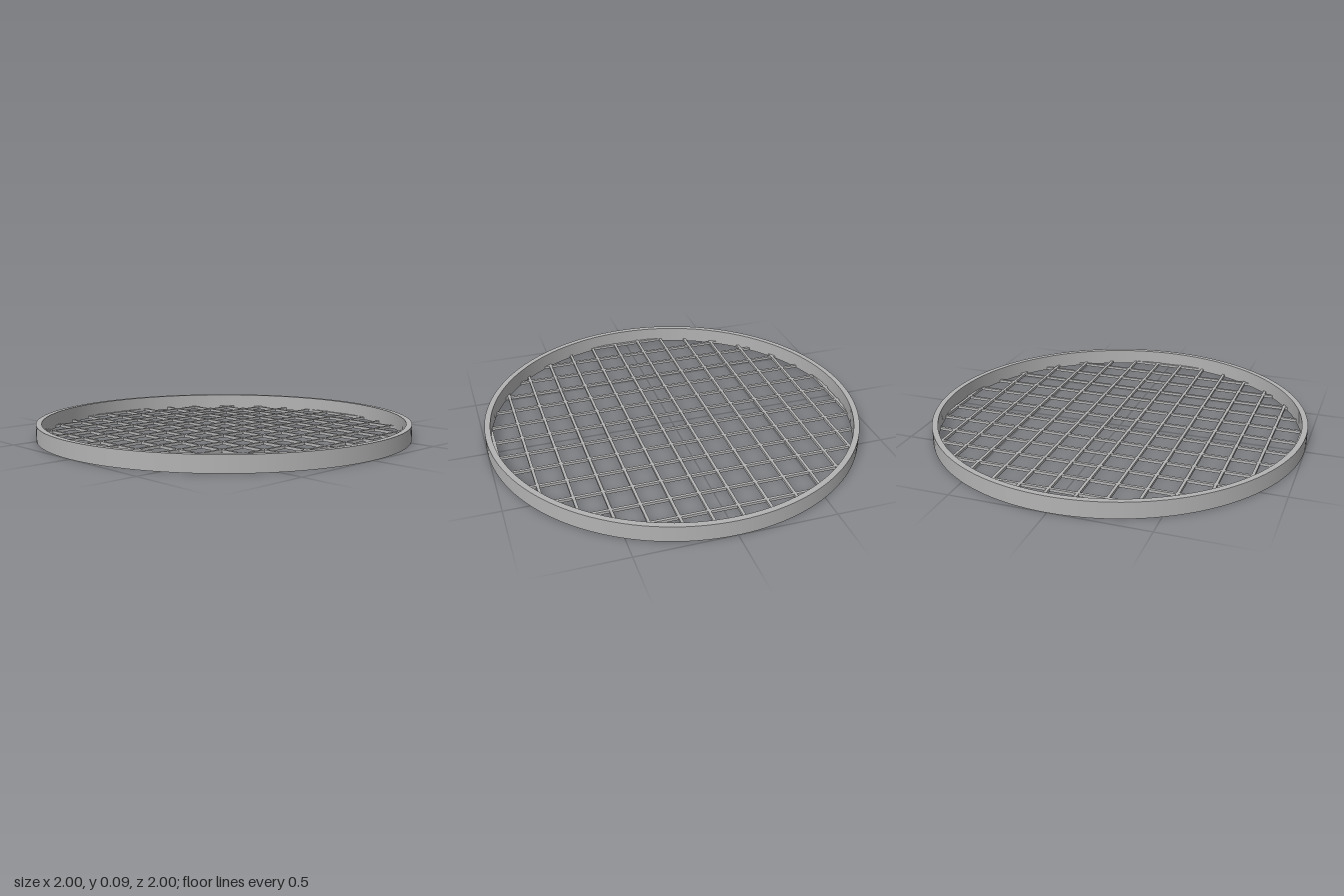
import * as THREE from 'three';
import { mergeGeometries } from 'three/addons/utils/BufferGeometryUtils.js';

const OUTER = 1, INNER = 0.97, HEIGHT = 0.085;
const PITCH = 0.1467, BAR = 0.015, REACH = 0.985;

// Ring band: each face of the profile is its own lathe, so the rims stay sharp
function ringGeometry() {
  const corners = [[INNER, 0], [OUTER, 0], [OUTER, HEIGHT], [INNER, HEIGHT]]
    .map(([r, y]) => new THREE.Vector2(r, y));
  return mergeGeometries(corners.map((corner, i) =>
    new THREE.LatheGeometry([corner, corners[(i + 1) % 4]], 128)));
}

export function createModel() {
  const model = new THREE.Group();
  model.name = 'roundGrate';
  const steel = new THREE.MeshStandardMaterial({ color: 0xb3b3b3 });
  steel.name = 'grey steel';

  const ring = new THREE.Mesh(ringGeometry(), steel);
  ring.name = 'outerRing';
  model.add(ring);

  // Square grid of bars at the bottom, each ending inside the ring wall
  const crossBars = new THREE.Group();
  crossBars.name = 'crossBars';
  const lengthBars = new THREE.Group();
  lengthBars.name = 'lengthBars';
  for (let i = 0; i < 14; i++) {
    const offset = (i - 6.5) * PITCH;
    const length = 2 * Math.sqrt(REACH ** 2 - (Math.abs(offset) + BAR / 2) ** 2);
    const geometry = new THREE.BoxGeometry(length, BAR, BAR);
    for (const group of [crossBars, lengthBars]) {
      const bar = new THREE.Mesh(geometry, steel);
      bar.name = 'bar';
      bar.position.set(0, BAR / 2, offset);
      group.add(bar);
    }
  }
  lengthBars.rotation.y = Math.PI / 2;
  model.add(crossBars, lengthBars);
  return model;
}
